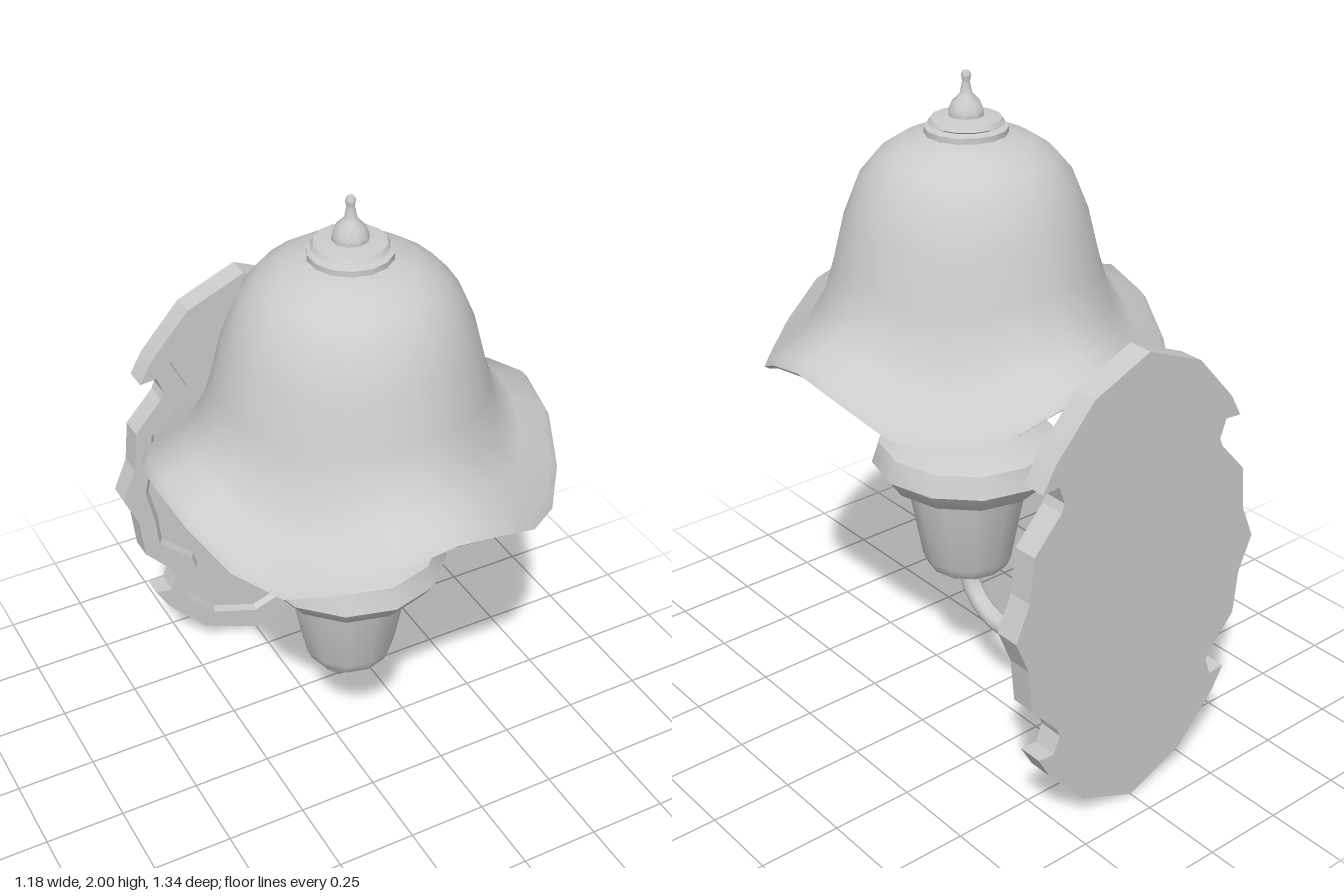
import * as THREE from 'three';
import { toCreasedNormals } from 'three/addons/utils/BufferGeometryUtils.js';

const grey = new THREE.MeshStandardMaterial({ color: 0xcccccc });
const CENTER_Y = 0.715, AXIS_Z = 0.08, BACK_Z = -0.67, FRONT_Z = -0.595, RECESS = 0.02;

const vec = (pts) => pts.map(([x, y]) => new THREE.Vector2(x, y));

function addMesh(parent, name, geometry, crease = 0.7) {
  const mesh = new THREE.Mesh(toCreasedNormals(geometry, crease), grey);
  mesh.name = name;
  parent.add(mesh);
  return mesh;
}

// Quarter outline (bottom tip to side tip) mirrored to all four quarters
function fourfold(quarter) {
  const right = [...quarter, ...quarter.slice(0, -1).reverse().map(([x, y]) => [x, -y])];
  const left = right.slice(1, -1).reverse().map(([x, y]) => [-x, y]);
  return vec([...right, ...left]);
}

// Strip of quads between two loops of equal length
function bevel(outer, inner, z0, z1) {
  const pos = [], n = outer.length;
  for (let i = 0; i < n; i++) {
    const j = (i + 1) % n;
    const a = [outer[i].x, outer[i].y, z0], b = [outer[j].x, outer[j].y, z0];
    const c = [inner[j].x, inner[j].y, z1], d = [inner[i].x, inner[i].y, z1];
    pos.push(...a, ...b, ...c, ...a, ...c, ...d);
  }
  const g = new THREE.BufferGeometry();
  g.setAttribute('position', new THREE.Float32BufferAttribute(pos, 3));
  return g;
}

function wallPlate() {
  const plate = new THREE.Group();
  plate.name = 'wallPlate';
  plate.position.y = CENTER_Y;
  const outline = fourfold([[0, -0.71], [0.19, -0.63], [0.32, -0.485], [0.36, -0.415], [0.305, -0.42],
    [0.285, -0.365], [0.295, -0.34], [0.386, -0.24], [0.4, -0.105], [0.445, 0]]);
  const recess = fourfold([[0, -0.635], [0.155, -0.58], [0.26, -0.465], [0.21, -0.365], [0.225, -0.315],
    [0.335, -0.215], [0.345, -0.11], [0.37, 0]]);
  const floor = recess.map((p) => new THREE.Vector2(p.x * 0.955, p.y * 0.98));

  const back = new THREE.ExtrudeGeometry(new THREE.Shape(outline),
    { depth: FRONT_Z - RECESS - BACK_Z, bevelEnabled: false });
  addMesh(plate, 'plateBack', back, 0.3).position.z = BACK_Z;

  const frame = new THREE.Shape(outline);
  frame.holes.push(new THREE.Path(recess));
  const rim = new THREE.ExtrudeGeometry(frame, { depth: RECESS, bevelEnabled: false });
  addMesh(plate, 'plateFrame', rim, 0.3).position.z = FRONT_Z - RECESS;
  addMesh(plate, 'plateBevel', bevel(recess, floor, FRONT_Z, FRONT_Z - RECESS + 0.001), 0.3);

  // Oval rosette where the arm meets the plate
  const oval = new THREE.CylinderGeometry(0.0875, 0.0875, 0.032, 20).rotateX(Math.PI / 2).scale(1, 1.7, 1);
  addMesh(plate, 'rosette', oval).position.z = -0.599;
  return plate;
}

// Bell with a thin wall whose rim dips in four lobes
function shadeGeometry() {
  const outer = [[0.59, 1.265], [0.57, 1.288], [0.48, 1.315], [0.42, 1.37], [0.385, 1.47], [0.35, 1.6],
    [0.3, 1.71], [0.25, 1.765], [0.19, 1.805], [0.1, 1.83], [0, 1.835]];
  const inner = [[0, 1.805], [0.18, 1.775], [0.275, 1.69], [0.325, 1.59], [0.36, 1.46], [0.395, 1.355],
    [0.465, 1.285], [0.575, 1.25]];
  const g = new THREE.LatheGeometry(vec([...inner, ...outer]), 24);
  const p = g.attributes.position;
  for (let i = 0; i < p.count; i++) {
    const x = p.getX(i), z = p.getZ(i);
    const weight = Math.pow(Math.max(0, (Math.hypot(x, z) - 0.27) / 0.32), 1.4);
    const lobe = (1 - Math.cos(4 * Math.atan2(x, z))) / 2;
    p.setY(i, p.getY(i) - 0.145 * weight * lobe);
  }
  return g;
}

export function createModel() {
  const model = new THREE.Group();
  model.name = 'wallLamp';
  model.add(wallPlate());

  // Curved arm from the plate to the underside of the holder
  const path = [[0.44, 0.08], [0.385, 0.07], [0.325, 0.02], [0.292, -0.07], [0.315, -0.17], [0.4, -0.24],
    [0.585, -0.34], [0.68, -0.42], [0.705, -0.5], [0.712, -0.6]];
  const curve = new THREE.CatmullRomCurve3(path.map(([y, z]) => new THREE.Vector3(0, y, z)));
  addMesh(model, 'arm', new THREE.TubeGeometry(curve, 22, 0.03, 10), 1);

  // Turned parts on the lamp's axis
  const lamp = new THREE.Group();
  lamp.name = 'lamp';
  lamp.position.z = AXIS_Z;
  model.add(lamp);
  const lathe = (name, pts, sides) => addMesh(lamp, name, new THREE.LatheGeometry(vec(pts), sides));

  lathe('holder', [[0, 0.42], [0.07, 0.425], [0.125, 0.455], [0.14, 0.49], [0.185, 0.735], [0.25, 0.765],
    [0.29, 0.82], [0.268, 0.885], [0.165, 0.925], [0, 0.925]], 12);
  lathe('candle', [[0.165, 0.915], [0.14, 1.27], [0, 1.27]], 12);
  lathe('bulb', [[0.13, 1.26], [0.16, 1.38], [0.17, 1.48], [0.14, 1.58], [0.08, 1.65], [0, 1.67]], 12);
  addMesh(lamp, 'shade', shadeGeometry(), 0.9);
  lathe('capRing', [[0.1, 1.805], [0.118, 1.825], [0.118, 1.842], [0.095, 1.848], [0.108, 1.855],
    [0.1, 1.868], [0.05, 1.874], [0, 1.874]], 14);
  lathe('finial', [[0.05, 1.865], [0.051, 1.885], [0.04, 1.912], [0.018, 1.935], [0.011, 1.97],
    [0.015, 1.985], [0.01, 1.997], [0, 2]], 10);
  return model;
}
